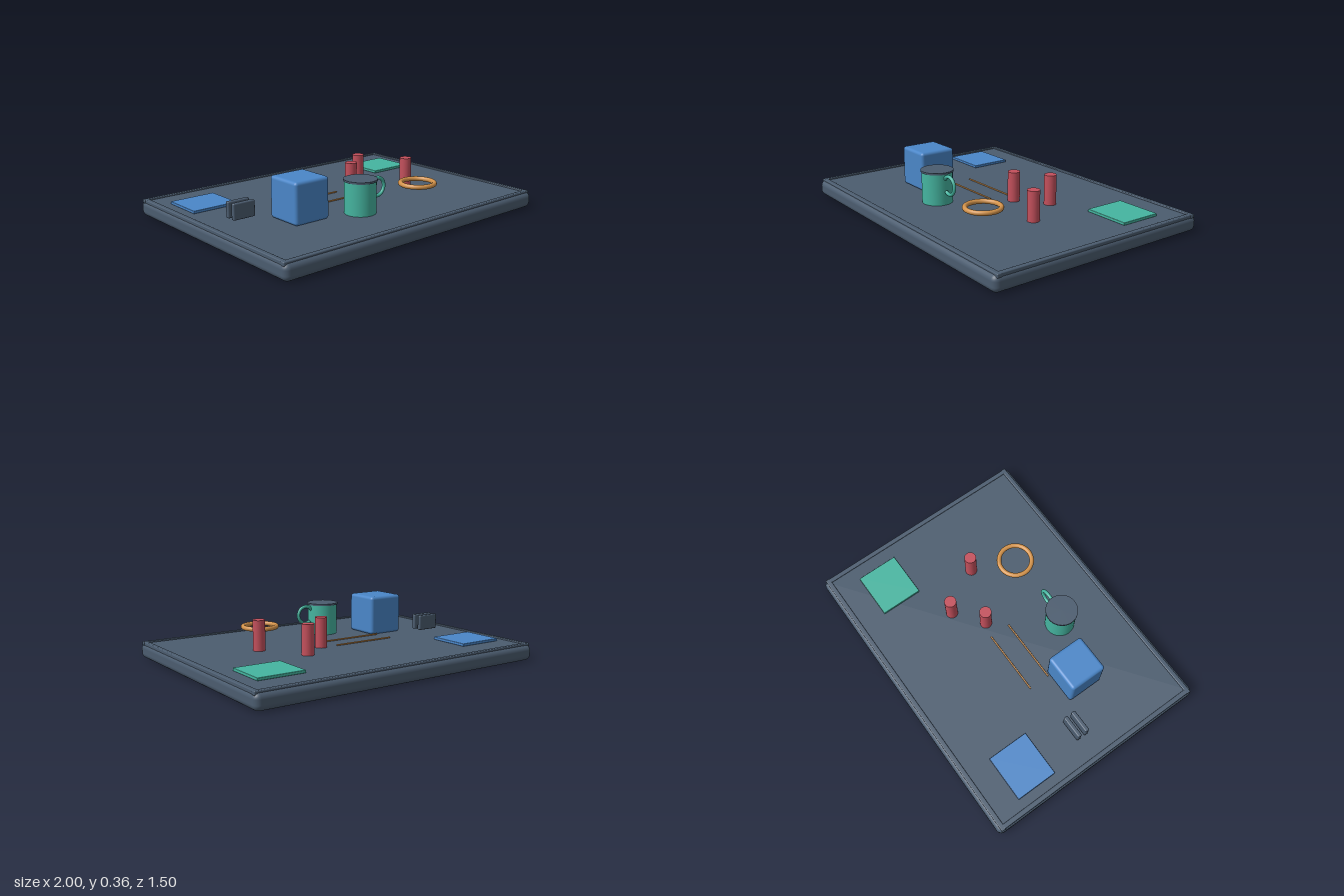
import * as THREE from 'three';
import { RoundedBoxGeometry } from 'three/addons/geometries/RoundedBoxGeometry.js';

const material = (name, color) => {
  const m = new THREE.MeshStandardMaterial({ color });
  m.name = name;
  return m;
};

export function createModel() {
  const group = new THREE.Group();
  const slate = material('slate', 0x4b5c6f);
  const blue = material('blue', 0x4a86c8);
  const green = material('green', 0x45b5a0);
  const red = material('red', 0xc4505c);
  const orange = material('orange', 0xd2924a);

  const add = (name, geometry, mat, x, y, z, parent = group) => {
    const mesh = new THREE.Mesh(geometry, mat);
    mesh.name = name;
    mesh.position.set(x, y, z);
    parent.add(mesh);
    return mesh;
  };
  const rounded = (w, h, d, r) => new RoundedBoxGeometry(w, h, d, 4, r);

  // Tray with a low lip around its edge
  add('trayBase', rounded(2, 0.1, 1.5, 0.035), slate, 0, 0.05, 0);
  for (const s of [-1, 1]) {
    add(s > 0 ? 'frontLip' : 'backLip', rounded(1.99, 0.025, 0.03, 0.006), slate, 0, 0.096, s * 0.715);
    add(s > 0 ? 'leftLip' : 'rightLip', rounded(0.03, 0.025, 1.42, 0.006), slate, s * 0.977, 0.096, 0);
  }

  // Flat square mats in the back corners
  add('blueMat', rounded(0.302, 0.018, 0.272, 0.004), blue, -0.752, 0.109, -0.405);
  add('greenMat', rounded(0.302, 0.018, 0.272, 0.004), green, 0.72, 0.109, -0.405);

  // Block
  add('block', rounded(0.245, 0.255, 0.245, 0.02), blue, -0.478, 0.228, 0.2);

  // Pair of upright plates
  for (const z of [-0.028, 0.028]) {
    add('uprightPlate', rounded(0.148, 0.1, 0.028, 0.008), slate, -0.753, 0.166, z);
  }

  // Mug with lid and handle
  const mug = new THREE.Group();
  mug.name = 'mug';
  mug.position.set(-0.14, 0, 0.348);
  group.add(mug);
  add('mugBody', new THREE.CylinderGeometry(0.096, 0.096, 0.2, 40), green, 0, 0.2, 0, mug);
  add('mugLid', new THREE.CylinderGeometry(0.102, 0.102, 0.012, 40), slate, 0, 0.303, 0, mug);
  const start = -Math.PI * 0.7;
  const handle = add('mugHandle', new THREE.TorusGeometry(0.056, 0.011, 12, 40, Math.PI * 1.53),
    green, 0.135, 0.234, 0, mug);
  handle.rotation.z = start;

  // Three pegs
  for (const [x, z] of [[0.134, -0.042], [0.321, -0.18], [0.496, 0.096]]) {
    add('peg', new THREE.CylinderGeometry(0.038, 0.038, 0.19, 32), red, x, 0.196, z);
  }

  // Ring held above the tray
  const ring = add('ring', new THREE.TorusGeometry(0.107, 0.015, 16, 56), orange, 0.347, 0.195, 0.348);
  ring.rotation.x = Math.PI / 2;

  // Two thin rods lying on the tray
  for (const z of [-0.072, 0.066]) {
    const rod = add('rod', new THREE.CylinderGeometry(0.005, 0.005, 0.425, 10), orange, -0.178, 0.106, z);
    rod.rotation.z = Math.PI / 2;
  }
  return group;
}
